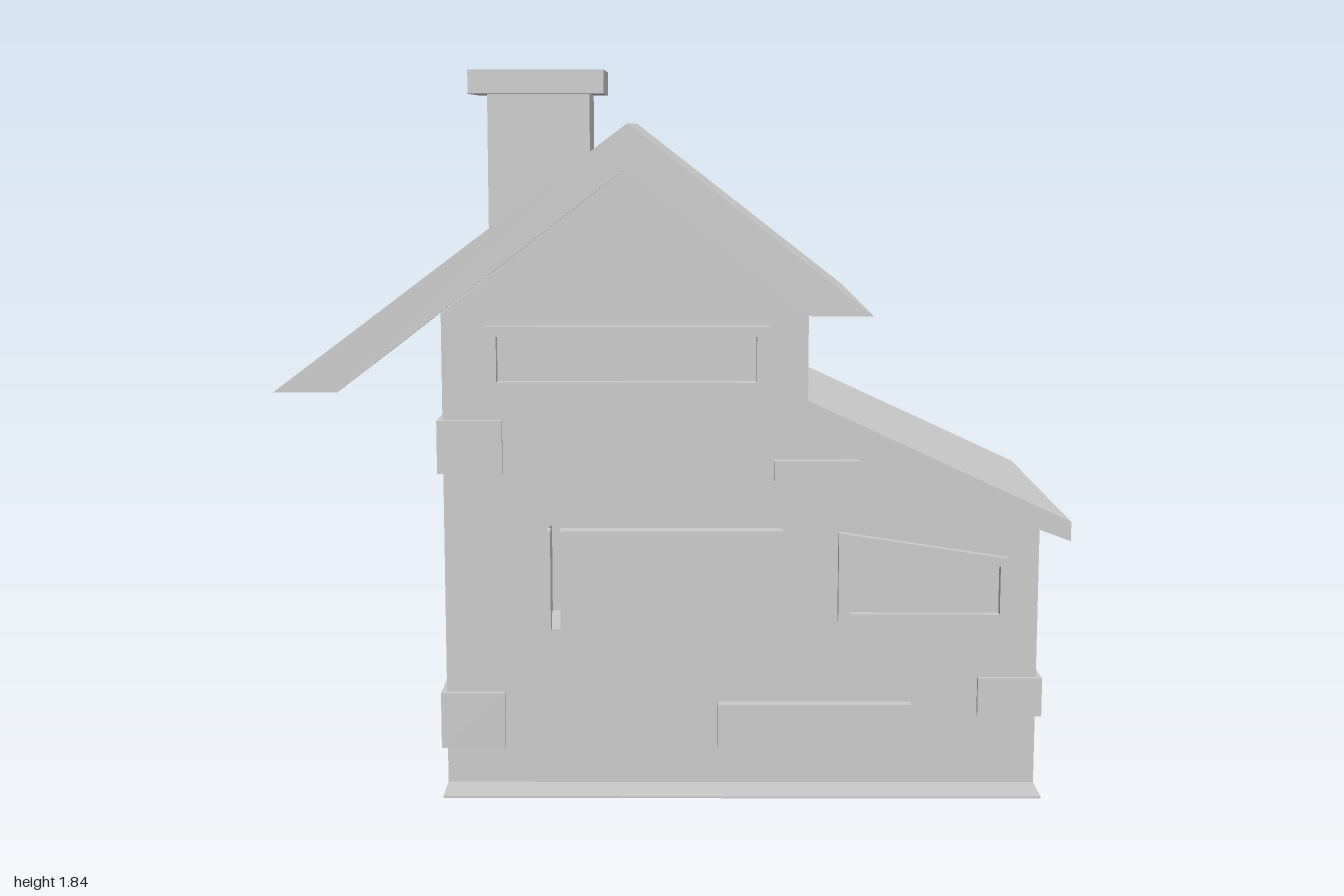
import * as THREE from 'three';

const material = new THREE.MeshStandardMaterial({ color: 0xcccccc, flatShading: true, side: THREE.DoubleSide });

export function createModel() {
  const house = new THREE.Group();
  house.name = 'cottage';

  const add = (name, geometry) => {
    const mesh = new THREE.Mesh(geometry, material);
    mesh.name = name;
    house.add(mesh);
    return mesh;
  };
  // Box given by its limits on each axis
  const box = (name, x0, x1, y0, y1, z0, z1) =>
    add(name, new THREE.BoxGeometry(x1 - x0, y1 - y0, z1 - z0)
      .translate((x0 + x1) / 2, (y0 + y1) / 2, (z0 + z1) / 2));
  // Outline in x, y pulled from z0 to z1, with optional hole
  const slab = (name, points, z0, z1, hole) => {
    const toVectors = (list) => list.map(([x, y]) => new THREE.Vector2(x, y));
    const shape = new THREE.Shape(toVectors(points));
    if (hole) shape.holes.push(new THREE.Path(toVectors(hole)));
    return add(name, new THREE.ExtrudeGeometry(shape, { depth: z1 - z0, bevelEnabled: false })
      .translate(0, 0, z0));
  };
  const rect = (x0, x1, y0, y1) => [[x0, y0], [x1, y0], [x1, y1], [x0, y1]];

  const left = -0.59, right = 0.92, back = -0.41, front = 0.51;

  // Ground and walls, with a pointed opening in the front
  box('groundPlate', left, right, 0, 0.005, -0.625, 0.62);
  const walls = [[left, 0], [right, 0], [right, 0.67], [0.33, 0.95], [0.33, 1.22], [left, 1.22]];
  const opening = [[-0.33, 0.41], [0.27, 0.41], [0.27, 0.67], [-0.11, 0.85], [-0.33, 0.67]];
  slab('walls', walls, back, 0.31);
  slab('frontWall', walls, 0.31, front, opening);
  box('openingPanel', -0.295, 0.27, 0.41, 0.67, 0.49, 0.535);
  box('openingEdge', -0.33, -0.32, 0.41, 0.67, 0.49, 0.535);

  // Gables: the rear one fills only half of the attic end
  slab('frontGable', [[left, 1.22], [0.33, 1.22], [-0.12, 1.585]], 0.49, front);
  slab('rearGable', [[left, 1.22], [-0.12, 1.22], [-0.12, 1.585]], back, -0.39);

  // Roofs
  slab('mainRoof', [[-1, 1.03], [-0.84, 1.03], [-0.12, 1.585], [0.33, 1.22], [0.485, 1.22], [-0.12, 1.69]],
    -0.455, 0.585);
  slab('sideRoof', [[0.33, 0.95], [right, 0.67], [1, 0.64], [1, 0.69], [0.33, 1]], back, front);

  // Hollow chimney and its cap
  const tube = (name, outer, inner, y0, y1) =>
    slab(name, outer, 0, y1 - y0, inner).rotateX(-Math.PI / 2).translateZ(y0);
  const flue = rect(-0.51, -0.255, 0.05, 0.275);
  tube('chimney', rect(-0.52, -0.24, 0.03, 0.285), flue, 1.28, 1.77);
  tube('chimneyCap', rect(-0.57, -0.2, 0, 0.325), flue, 1.77, 1.835);

  // Window frames
  slab('upperWindowFrame', rect(-0.48, 0.23, 1.03, 1.19), front, 0.545, rect(-0.45, 0.2, 1.05, 1.165));
  slab('lowerWindowFrame', [[0.41, 0.435], [0.84, 0.43], [0.84, 0.6], [0.41, 0.665]], front, 0.535,
    [[0.44, 0.455], [0.82, 0.455], [0.82, 0.58], [0.44, 0.64]]);

  // Stones wrapped round the corners: side of x, side of z, bottom, top
  const t = 0.014, w = 0.15;
  [
    [-1, 1, 0.1, 0.245], [-1, 1, 0.815, 0.95], [1, 1, 0.185, 0.285],
    [1, -1, 0.04, 0.215], [1, -1, 0.43, 0.605],
    [-1, -1, 0.085, 0.26], [-1, -1, 0.46, 0.78], [-1, -1, 0.9, 1.085],
  ].forEach(([sx, sz, y0, y1]) => {
    const [x0, x1] = sx < 0 ? [left - t, left + w] : [right - w, right + t];
    const [z0, z1] = sz < 0 ? [back - t, back + w] : [front - w, front + t];
    box('cornerStone', x0, x1, y0, y1, z0, z1);
  });

  // Loose stones on the front wall
  box('wallStone', 0.105, 0.6, 0.085, 0.22, front, 0.54);
  box('wallStone', 0.245, 0.46, 0.8, 0.85, front, 0.54);

  // Crossed boards on the back wall
  [[0.31, 0.52], [0.52, 0.31]].forEach(([a, b]) =>
    slab('crossBoard', [[-0.06, a], [0.44, b], [0.44, b + 0.15], [-0.06, a + 0.15]], back - 0.02, back));

  return house;
}
